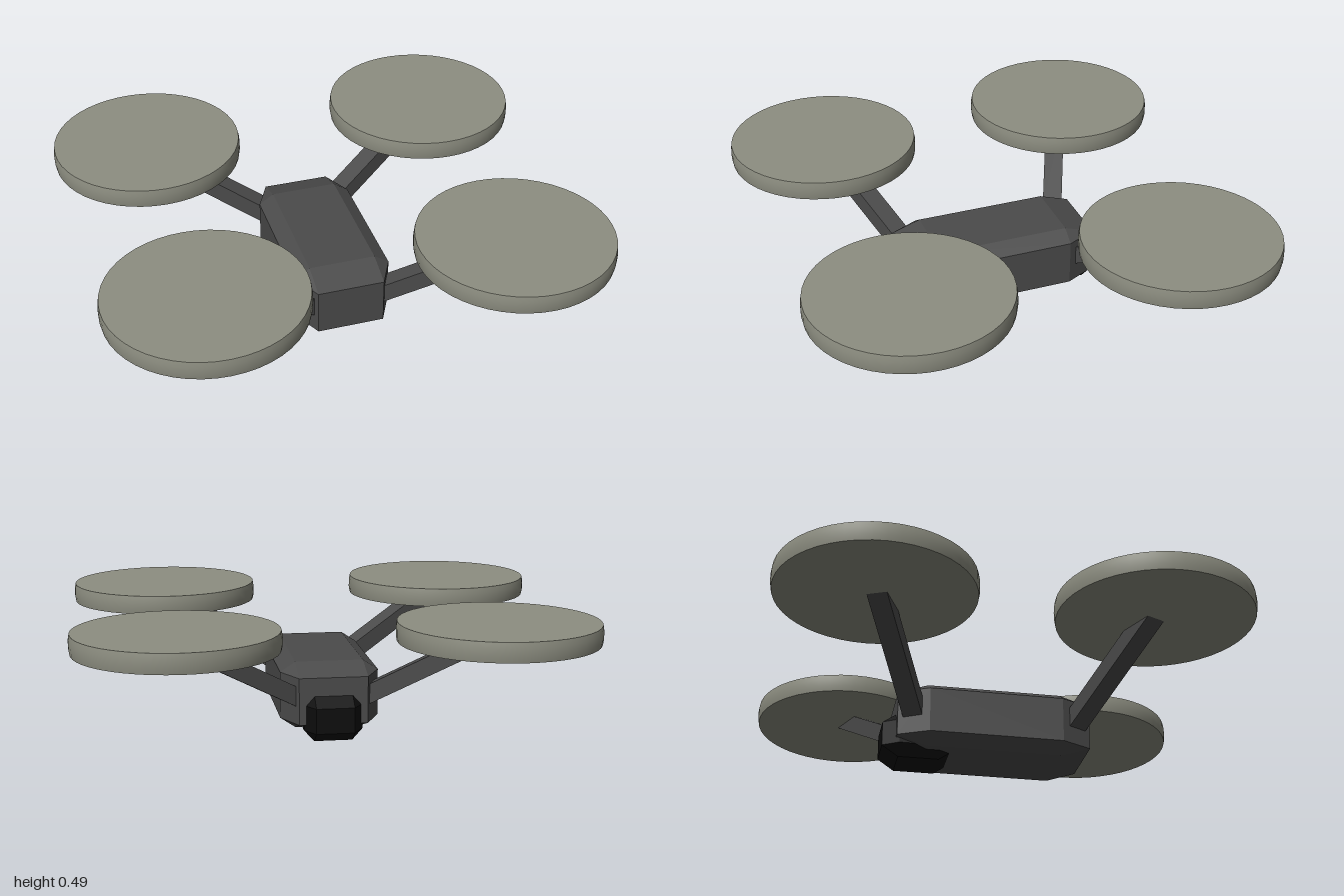
import * as THREE from 'three';
import { ConvexGeometry } from 'three/addons/geometries/ConvexGeometry.js';

const mat = (name, color, flatShading = false) => {
  const m = new THREE.MeshStandardMaterial({ color, flatShading });
  m.name = name;
  return m;
};

// Box with half sizes h, every edge and corner cut back by c
function chamferBox(h, c) {
  const points = [];
  for (const sx of [-1, 1]) for (const sy of [-1, 1]) for (const sz of [-1, 1]) {
    for (let axis = 0; axis < 3; axis++) {
      const p = h.map((v, i) => (i === axis ? v : v - c[i]));
      points.push(new THREE.Vector3(p[0] * sx, p[1] * sy, p[2] * sz));
    }
  }
  return new ConvexGeometry(points);
}

export function createModel() {
  const model = new THREE.Group();
  model.name = 'quadcopter';
  const charcoal = mat('charcoal', 0x4b4b4b, true);
  const black = mat('black', 0x0d0d0d, true);
  const rotorGrey = mat('rotorGrey', 0x8d8e81);

  const add = (name, geometry, material, x, y, z) => {
    const mesh = new THREE.Mesh(geometry, material);
    mesh.name = name;
    mesh.position.set(x, y, z);
    model.add(mesh);
    return mesh;
  };

  // Hull and the camera pod tucked under its rear end
  add('body', chamferBox([0.195, 0.133, 0.392], [0.06, 0.04, 0.122]), charcoal, 0, 0.162, 0);
  add('cameraPod', chamferBox([0.115, 0.095, 0.147], [0.04, 0.045, 0.065]), black, 0, 0.095, -0.298);

  // Arm: slanted bar with upright inner end, its tip sunk into the rotor disc
  const armShape = new THREE.Shape([
    [0, 0.14], [0.51, 0.415], [0.51, 0.44], [0.408, 0.44], [0, 0.22],
  ].map(([r, y]) => new THREE.Vector2(r, y)));
  const armGeometry = new THREE.ExtrudeGeometry(armShape, { depth: 0.08, bevelEnabled: false });
  armGeometry.translate(0, 0, -0.04);

  // Rotor disc: flat faces, slightly rounded rim; doubled points keep the edges crisp
  const rotorGeometry = new THREE.LatheGeometry([
    [0, -0.038], [0.387, -0.038], [0.387, -0.038], [0.391, -0.015],
    [0.391, 0.015], [0.387, 0.038], [0.387, 0.038], [0, 0.038],
  ].map(([r, y]) => new THREE.Vector2(r, y)), 48);

  for (const sz of [1, -1]) for (const sx of [1, -1]) {
    const label = (sz > 0 ? 'front' : 'rear') + (sx > 0 ? 'Left' : 'Right');
    const arm = add(label + 'Arm', armGeometry, charcoal, sx * 0.16, 0, sz * 0.335);
    arm.rotation.y = -Math.atan2(sz * 0.4, sx * 0.917);
    add(label + 'Rotor', rotorGeometry, rotorGrey, sx * 0.609, 0.453, sz * 0.542);
  }
  return model;
}
